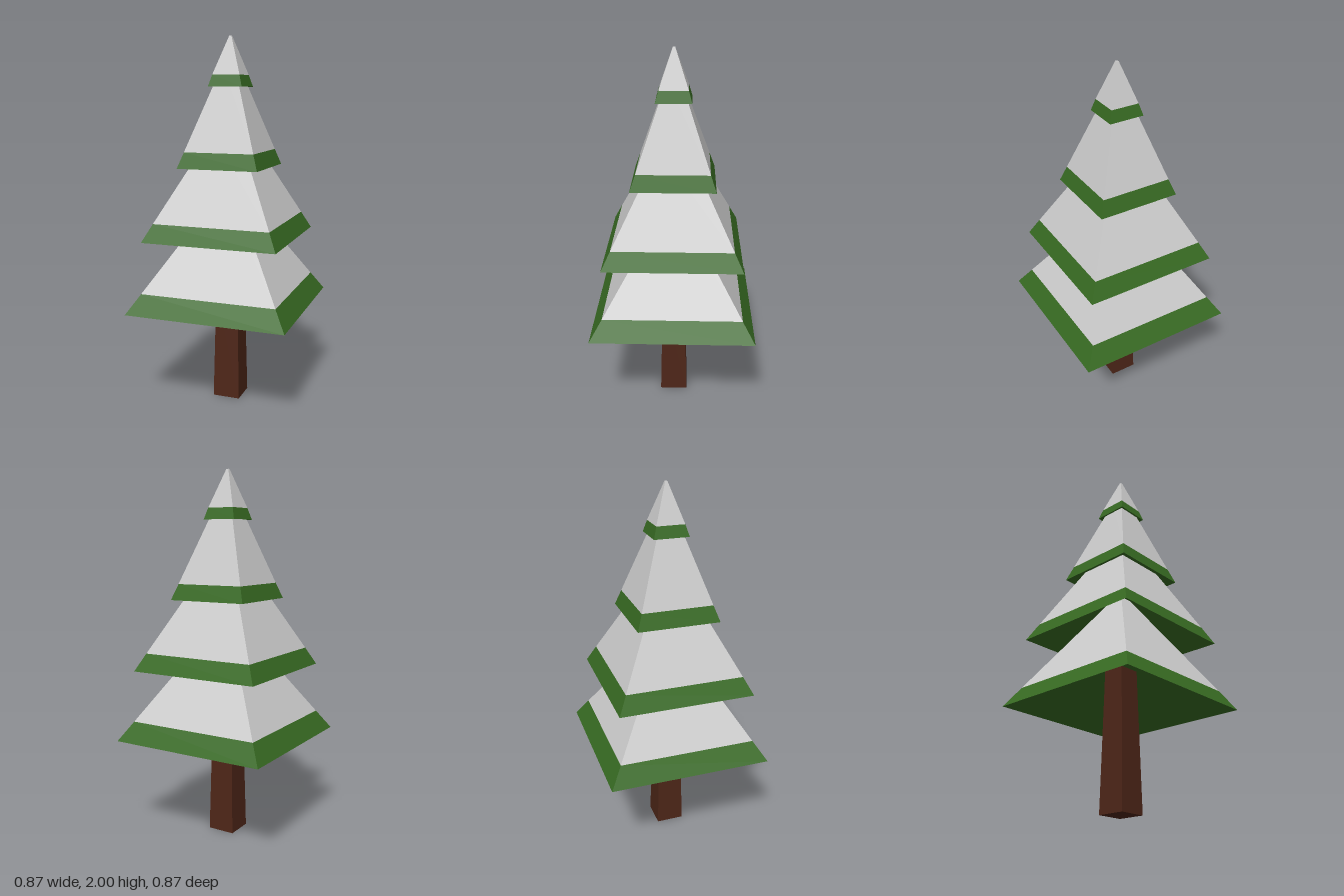
import * as THREE from 'three';

const snow = new THREE.MeshStandardMaterial({ color: 0xcccccc, flatShading: true });
const needles = new THREE.MeshStandardMaterial({ color: 0x376a22, flatShading: true });
const bark = new THREE.MeshStandardMaterial({ color: 0x4e2618, flatShading: true });

// Square solid from a bottom-to-top profile of [half width, height]
function squareLathe(name, profile, material) {
  const points = profile.map(([half, y]) => new THREE.Vector2(half * Math.SQRT2, y));
  const geometry = new THREE.LatheGeometry(points, 4, Math.PI / 4).toNonIndexed();
  geometry.computeVertexNormals();
  const mesh = new THREE.Mesh(geometry, material);
  mesh.name = name;
  return mesh;
}

// Each tier: [half width, height] at the rim, snow line and top, plus the rise of the hollow underside
const tiers = [
  { rim: [0.437, 0.55], line: [0.371, 0.654], top: [0.03, 1.195], hollow: 0.24 },
  { rim: [0.367, 0.932], line: [0.319, 1.027], top: [0.075, 1.5], hollow: 0.28 },
  { rim: [0.222, 1.312], line: [0.192, 1.397], top: [0.034, 1.85], hollow: 0.15 },
  { rim: [0.094, 1.737], line: [0.076, 1.798], top: [0.006, 2], hollow: 0.06 },
];

export function createModel() {
  const tree = new THREE.Group();
  tree.name = 'snowyTree';

  // Tapered trunk, closed underneath
  tree.add(squareLathe('trunk', [[0, 0], [0.076, 0], [0.063, 0.6], [0.058, 0.85]], bark));

  tiers.forEach(({ rim, line, top, hollow }, i) => {
    const tier = new THREE.Group();
    tier.name = `tier${i + 1}`;
    // Hollow underside and green edge band
    tier.add(squareLathe('needles', [[0, rim[1] + hollow], rim, line], needles));
    // Snow slope with a small flat cap
    tier.add(squareLathe('snow', [line, top, [0, top[1]]], snow));
    tree.add(tier);
  });

  return tree;
}
